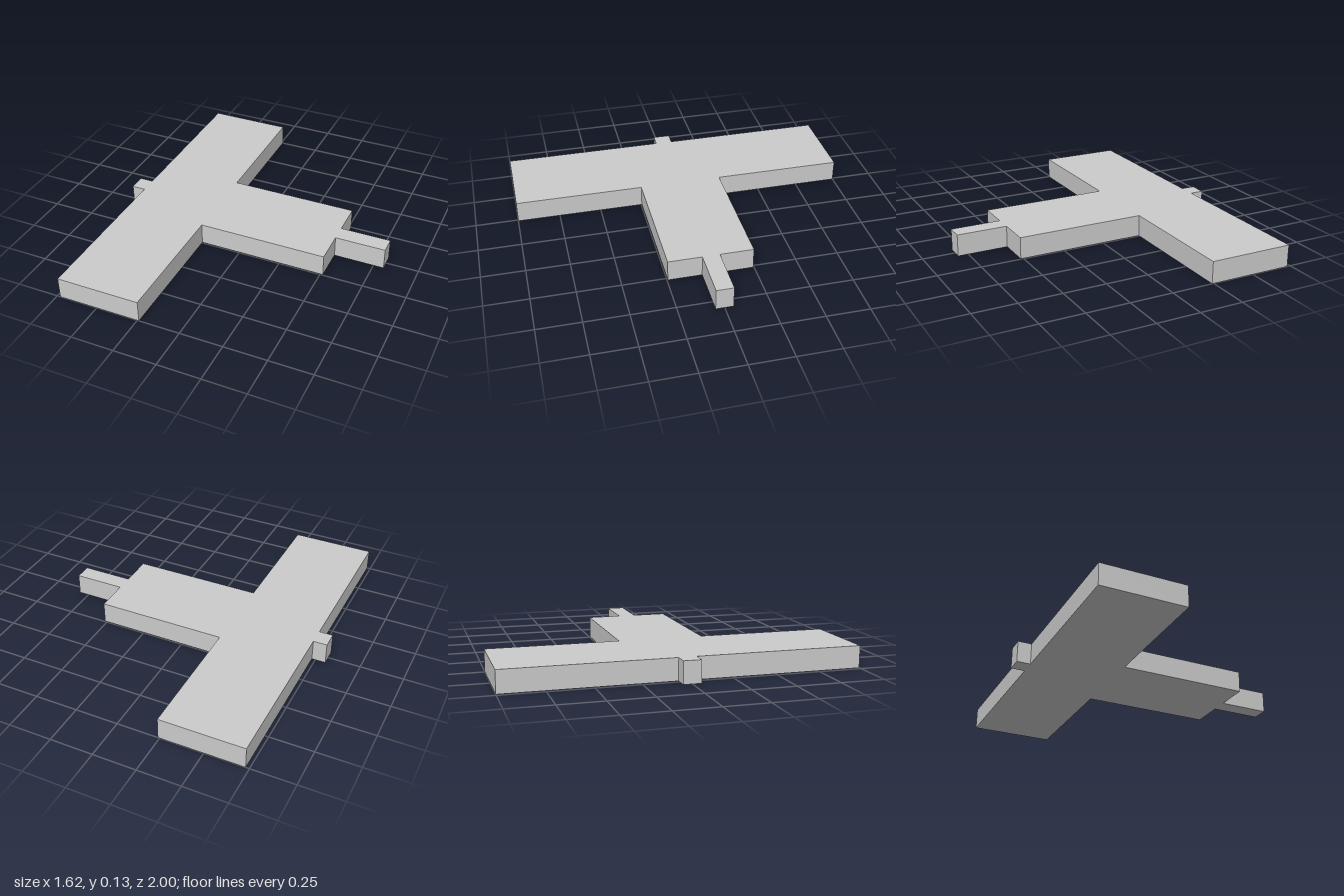
import * as THREE from 'three';

const HEIGHT = 0.126;

export function createModel() {
  const model = new THREE.Group();
  const material = new THREE.MeshStandardMaterial({ color: 0xcccccc, flatShading: true });

  // T-shaped slab, drawn in plan and raised to its thickness
  const plan = new THREE.Shape([
    [-0.73, -1], [-0.24, -1], [-0.24, -0.245], [0.515, -0.245],
    [0.515, 0.245], [-0.24, 0.245], [-0.24, 1], [-0.73, 1],
  ].map(([x, y]) => new THREE.Vector2(x, y)));
  const slabGeometry = new THREE.ExtrudeGeometry(plan, { depth: HEIGHT, bevelEnabled: false });
  slabGeometry.rotateX(-Math.PI / 2);
  const slab = new THREE.Mesh(slabGeometry, material);
  slab.name = 'slab';
  model.add(slab);

  // Narrow tabs at both ends of the centre line, flush with the slab
  const addTab = (name, x0, x1) => {
    const tab = new THREE.Mesh(new THREE.BoxGeometry(x1 - x0, HEIGHT, 0.1), material);
    tab.position.set((x0 + x1) / 2, HEIGHT / 2, 0);
    tab.name = name;
    model.add(tab);
  };
  addTab('rightTab', -0.81, -0.73);
  addTab('leftTab', 0.515, 0.81);

  return model;
}
